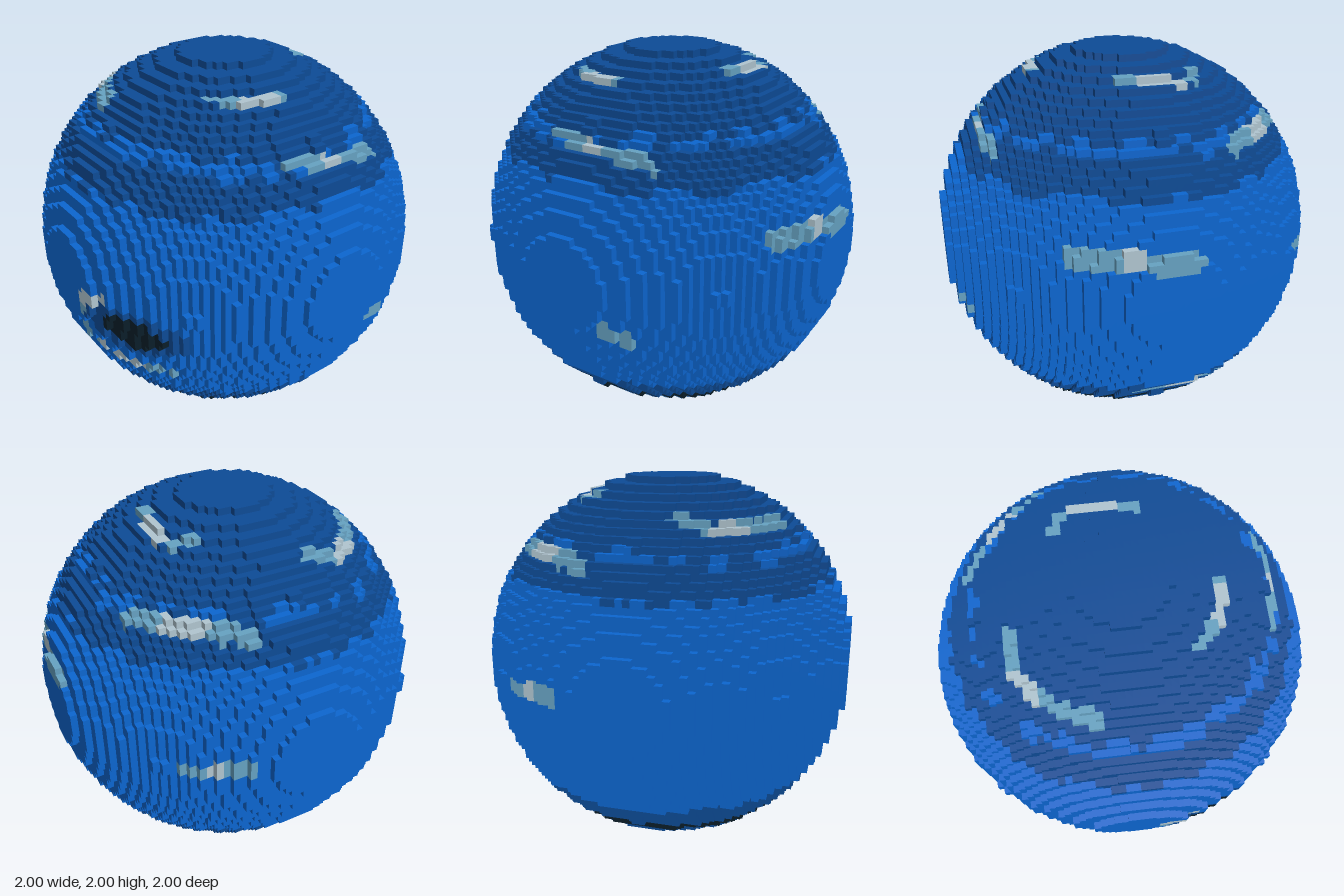
import * as THREE from 'three';

const N = 56, H = N / 2, R2 = 801;
const V = 1 / H; // edge length of one block

const material = (name, color) => {
  const m = new THREE.MeshStandardMaterial({ color });
  m.name = name;
  return m;
};

// Point on the unit sphere from a flat position seen from one side
const project = {
  front: (a, b) => [a, b - 1, Math.sqrt(1 - a * a - (b - 1) ** 2)],
  back: (a, b) => [a, b - 1, -Math.sqrt(1 - a * a - (b - 1) ** 2)],
  right: (a, b) => [Math.sqrt(1 - a * a - (b - 1) ** 2), b - 1, a],
  left: (a, b) => [-Math.sqrt(1 - a * a - (b - 1) ** 2), b - 1, a],
  top: (a, b) => [a, Math.sqrt(1 - a * a - b * b), b],
  bottom: (a, b) => [a, -Math.sqrt(1 - a * a - b * b), b],
};

// Cloud streaks: side, half width, pale stretch from/to, path
const CLOUDS = [
  ['front', 0.035, 0.1, 1, [[0.13, 0.87], [0.15, 0.94], [0.3, 0.99]]],
  ['front', 0.037, 0.28, 0.8, [[0.07, 0.72], [0.13, 0.65], [0.22, 0.62], [0.4, 0.61], [0.55, 0.62]]],
  ['right', 0.036, 0.4, 0.58, [[0.19, 1.66], [-0.05, 1.64], [-0.36, 1.58]]],
  ['right', 0.047, 2, 2, [[-0.21, 0.81], [-0.33, 0.76]]],
  ['top', 0.036, 0.1, 0.65, [[0.46, 0.02], [0.46, 0.15], [0.42, 0.24], [0.31, 0.34]]],
  ['top', 0.036, 0.35, 0.8, [[-0.29, -0.32], [-0.22, -0.41], [-0.05, -0.44], [0.12, -0.38]]],
  ['top', 0.045, 0.25, 0.65, [[-0.36, -0.69], [-0.53, -0.54], [-0.66, -0.4], [-0.75, -0.24]]],
  ['top', 0.04, 0.35, 0.65, [[-0.55, 0.15], [-0.53, 0.32], [-0.42, 0.47], [-0.16, 0.6]]],
  ['back', 0.055, 0.4, 0.6, [[0.46, 1.24], [0.2, 1.22], [-0.07, 1.2]]],
  ['back', 0.037, 0.3, 0.65, [[0.1, 0.35], [-0.15, 0.36], [-0.42, 0.34]]],
  ['left', 0.045, 0.4, 0.6, [[-0.6, 1.0], [-0.35, 1.02]]],
  ['bottom', 0.035, 2, 2, [[0.49, 0.14], [0.5, -0.05], [0.42, -0.27]]],
  ['bottom', 0.035, 0.4, 0.6, [[-0.33, 0.12], [-0.35, -0.19]]],
  ['bottom', 0.03, 2, 2, [[0.06, 0.1], [0.11, 0.12]]],
].map(([side, width, from, to, path]) => {
  const curve = new THREE.CatmullRomCurve3(
    path.map(([a, b]) => new THREE.Vector3(...project[side](a, b))));
  const samples = Array.from({ length: 31 }, (_, i) => curve.getPoint(i / 30).normalize());
  return { width, from, to, samples };
});

const hash = (a, b) => {
  const s = Math.sin(a * 127.1 + b * 311.7) * 43758.5453;
  return s - Math.floor(s);
};

// Rows with ragged edges: [share of first colour, first colour, second colour]
const RAGGED = {
  2: [0.65, 'dark', 'bright'], 5: [0.85, 'black', 'dark'], 7: [0.15, 'black', 'dark'],
  11: [0.25, 'dark', 'bright'], 41: [0.5, 'dark', 'bright'],
  45: [0.12, 'bright', 'dark'], 46: [0.6, 'bright', 'dark'], 47: [0.4, 'bright', 'dark'],
};

function bandColour(row, angle) {
  if (RAGGED[row]) {
    const [share, a, b] = RAGGED[row];
    return hash(Math.floor(angle * 9), row) < share ? a : b;
  }
  if (row === 6) return 'black';
  if (row < 2 || (row > 11 && row < 41)) return 'bright';
  return 'dark';
}

function blockColour(p, row) {
  const d = p.clone().normalize();
  // cloud streaks
  for (const c of CLOUDS) {
    let best = 9, at = 0;
    c.samples.forEach((s, i) => {
      const dist = s.distanceTo(d);
      if (dist < best) { best = dist; at = i / 30; }
    });
    if (best < c.width) return at >= c.from && at <= c.to ? 'pale' : 'mist';
  }
  // oval storm on the front
  if (d.z > 0) {
    const oval = (x, y, rx, ry) => ((d.x - x) / rx) ** 2 + ((d.y + 1 - y) / ry) ** 2 < 1;
    if (oval(0.43, 0.845, 0.155, 0.09)) return 'black';
    if (oval(0.41, 0.845, 0.27, 0.135)) return 'dark';
  }
  return bandColour(row, Math.atan2(d.z, d.x));
}

export function createModel() {
  const group = new THREE.Group();
  group.name = 'blockPlanet';
  const parts = {
    bright: ['brightBlueSurface', material('bright blue', 0x0c66d0)],
    dark: ['darkBlueBands', material('dark blue', 0x0d4b96)],
    black: ['blackBandAndStorm', material('near black', 0x0b1e29)],
    mist: ['thinClouds', material('misty blue', 0x66a2c2)],
    pale: ['thickClouds', material('pale grey', 0xb0c5d0)],
  };
  const positions = Object.fromEntries(Object.keys(parts).map((k) => [k, []]));
  const inside = (c) => c.every((n) => n >= 0 && n < N) &&
    c.reduce((sum, n) => sum + (n + 0.5 - H) ** 2, 0) <= R2;

  // Outer faces of every block in the ball
  for (let x = 0; x < N; x++) for (let y = 0; y < N; y++) for (let z = 0; z < N; z++) {
    const cell = [x, y, z];
    if (!inside(cell)) continue;
    let out = null;
    for (let axis = 0; axis < 3; axis++) for (const s of [0, 1]) {
      const next = cell.slice();
      next[axis] += s ? 1 : -1;
      if (inside(next)) continue;
      out ??= positions[blockColour(
        new THREE.Vector3(x + 0.5 - H, y + 0.5 - H, z + 0.5 - H), y)];
      const corner = (a, b) => {
        const c = cell.slice();
        c[axis] += s;
        c[(axis + 1) % 3] += a;
        c[(axis + 2) % 3] += b;
        return [(c[0] - H) * V, c[1] * V, (c[2] - H) * V];
      };
      const q = [corner(0, 0), corner(1, 0), corner(1, 1), corner(0, 1)];
      if (!s) q.reverse();
      for (const i of [0, 1, 2, 0, 2, 3]) out.push(...q[i]);
    }
  }

  for (const [key, [name, mat]] of Object.entries(parts)) {
    const geometry = new THREE.BufferGeometry();
    geometry.setAttribute('position', new THREE.Float32BufferAttribute(positions[key], 3));
    geometry.computeVertexNormals();
    const mesh = new THREE.Mesh(geometry, mat);
    mesh.name = name;
    group.add(mesh);
  }
  return group;
}
